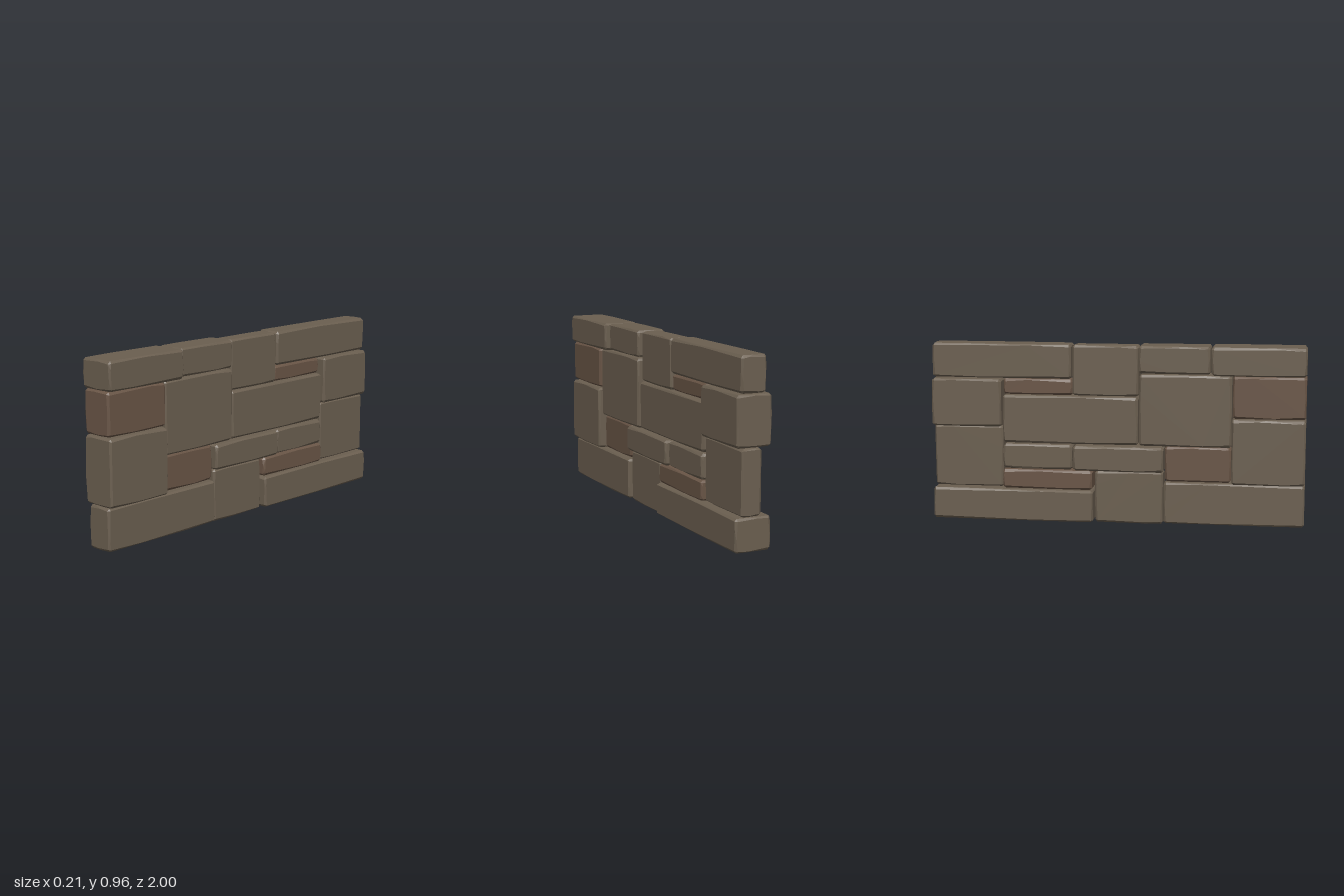
import * as THREE from 'three';
import { ConvexGeometry } from 'three/addons/geometries/ConvexGeometry.js';

// Small seeded generator for the worn edges
let seed = 7;
function rand() {
  seed = (seed * 16807) % 2147483647;
  return seed / 2147483647;
}

// Block with unevenly worn, chamfered edges: each face keeps a slightly irregular outline
function wornBlock(size) {
  const half = size.map((s) => s / 2);
  const points = [];
  for (let axis = 0; axis < 3; axis++) {
    const u = (axis + 1) % 3, v = (axis + 2) % 3;
    for (const side of [-1, 1]) {
      const add = (su, sv, iu, iv, shift) => {
        const p = [0, 0, 0];
        p[axis] = side * half[axis];
        p[u] = su ? su * (half[u] - iu) : shift * half[u];
        p[v] = sv ? sv * (half[v] - iv) : shift * half[v];
        points.push(new THREE.Vector3(...p));
      };
      for (let a = -1; a <= 1; a++) {
        for (let b = -1; b <= 1; b++) {
          if (!a && !b) continue;
          const wear = a && b ? 0.011 : 0.007; // corners wear more than edge middles
          add(a, b, wear * (0.8 + 0.6 * rand()), wear * (0.8 + 0.6 * rand()), rand() - 0.5);
        }
      }
    }
  }
  return new ConvexGeometry(points);
}

export function createModel() {
  seed = 7;
  const wall = new THREE.Group();
  wall.name = 'stoneWall';
  const brown = new THREE.MeshStandardMaterial({ color: 0x6b5f50, flatShading: true });
  const red = new THREE.MeshStandardMaterial({ color: 0x695546, flatShading: true });

  // name, z range, y range, x range, material
  const stones = [
    // top course
    ['topFrontStone', 0.503, 1, 0.81, 0.96, -0.095, 0.105, brown],
    ['topMiddleFrontStone', 0.12, 0.497, 0.815, 0.96, -0.085, 0.08, brown],
    ['topMiddleBackStone', -0.24, 0.115, 0.688, 0.957, -0.057, 0.06, brown],
    ['topBackStone', -1, -0.245, 0.777, 0.96, -0.072, 0.065, brown],
    // middle courses
    ['upperFrontStone', 0.617, 1, 0.585, 0.807, -0.085, 0.09, red],
    ['largeStone', 0.122, 0.612, 0.428, 0.808, -0.082, 0.08, brown],
    ['longStone', -0.617, 0.115, 0.428, 0.684, -0.078, 0.07, brown],
    ['thinUpperStone', -0.615, -0.24, 0.688, 0.772, -0.055, 0.05, red],
    ['upperBackStone', -1, -0.62, 0.516, 0.772, -0.105, 0.085, brown],
    ['lowerFrontStone', 0.613, 1, 0.232, 0.578, -0.09, 0.1, brown],
    ['smallStone', 0.258, 0.61, 0.235, 0.422, -0.06, 0.06, red],
    ['centreStone', -0.233, 0.253, 0.287, 0.42, -0.1, 0.088, brown],
    ['shortStone', -0.615, -0.24, 0.287, 0.42, -0.078, 0.072, brown],
    ['thinLowerStone', -0.617, -0.13, 0.18, 0.283, -0.09, 0.075, red],
    ['lowerBackStone', -1, -0.622, 0.18, 0.512, -0.052, 0.057, brown],
    // bottom course
    ['bottomBackStone', -1, -0.125, 0.006, 0.176, -0.105, 0.09, brown],
    ['bottomMiddleStone', -0.118, 0.248, 0, 0.282, -0.062, 0.06, brown],
    ['bottomFrontStone', 0.253, 1, 0.006, 0.228, -0.066, 0.077, brown],
  ];
  for (const [name, z0, z1, y0, y1, x0, x1, material] of stones) {
    const stone = new THREE.Mesh(wornBlock([x1 - x0, y1 - y0, z1 - z0]), material);
    stone.name = name;
    stone.position.set((x0 + x1) / 2, (y0 + y1) / 2, (z0 + z1) / 2);
    wall.add(stone);
  }
  return wall;
}
